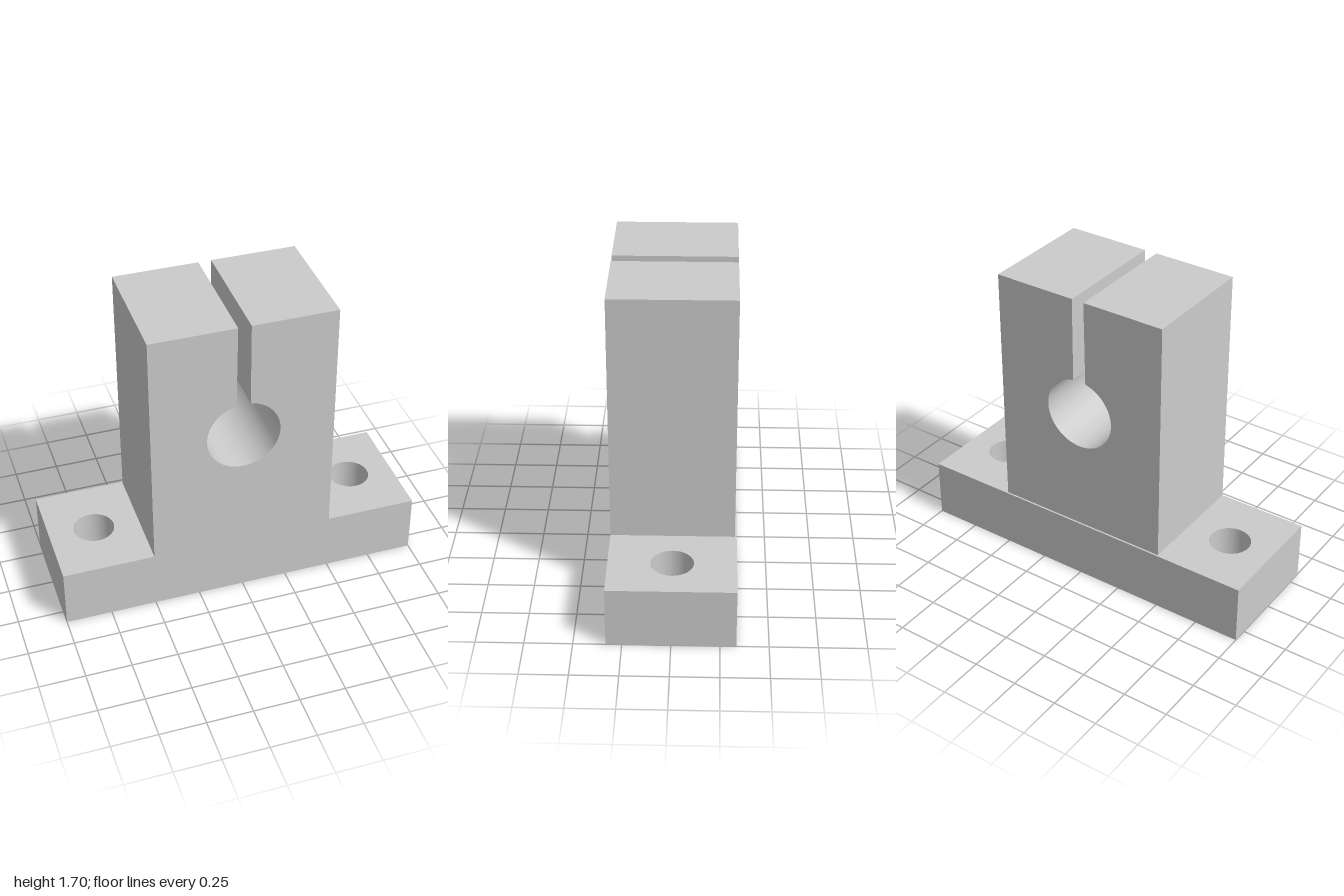
import * as THREE from 'three';
import { toCreasedNormals } from 'three/addons/utils/BufferGeometryUtils.js';

const BASE_TOP = 0.333, TOP = 1.7, FRONT = 0.333, BACK = -0.333, UPRIGHT_BACK = -0.323;
const BORE_Y = 1.033, BORE_R = 0.2, BOLT_X = 0.75, BOLT_R = 0.112;

// Extrude a shape, smooth inside the round holes and sharp at the edges
function extrude(shape, depth) {
  const geometry = new THREE.ExtrudeGeometry(shape, { depth, bevelEnabled: false, curveSegments: 32 });
  return toCreasedNormals(geometry, 0.5);
}

export function createModel() {
  const group = new THREE.Group();
  group.name = 'shaftSupport';
  const material = new THREE.MeshStandardMaterial({ color: 0xcccccc });

  // Foot plate with two vertical bolt holes
  const plate = new THREE.Shape();
  plate.moveTo(-1, BACK).lineTo(1, BACK).lineTo(1, FRONT).lineTo(-1, FRONT).closePath();
  for (const side of [-1, 1]) {
    plate.holes.push(new THREE.Path().absarc(side * BOLT_X, 0, BOLT_R, 0, Math.PI * 2, true));
  }
  const base = new THREE.Mesh(extrude(plate, BASE_TOP).rotateX(-Math.PI / 2), material);
  base.name = 'base';
  group.add(base);

  // Upright block whose bore opens into a clamping slot, slightly wider at the bottom left
  const slotRight = 0.035, slotLeftTop = -0.035, slotLeftBottom = -0.041;
  const block = new THREE.Shape();
  block.moveTo(-0.5, BASE_TOP).lineTo(0.5, BASE_TOP).lineTo(0.5, TOP).lineTo(slotRight, TOP);
  block.absarc(0, BORE_Y, BORE_R, Math.acos(slotRight / BORE_R), Math.acos(slotLeftBottom / BORE_R), true);
  block.lineTo(slotLeftTop, TOP).lineTo(-0.5, TOP).closePath();
  const upright = new THREE.Mesh(extrude(block, FRONT - UPRIGHT_BACK), material);
  upright.name = 'clampUpright';
  upright.position.z = UPRIGHT_BACK;
  group.add(upright);

  return group;
}
